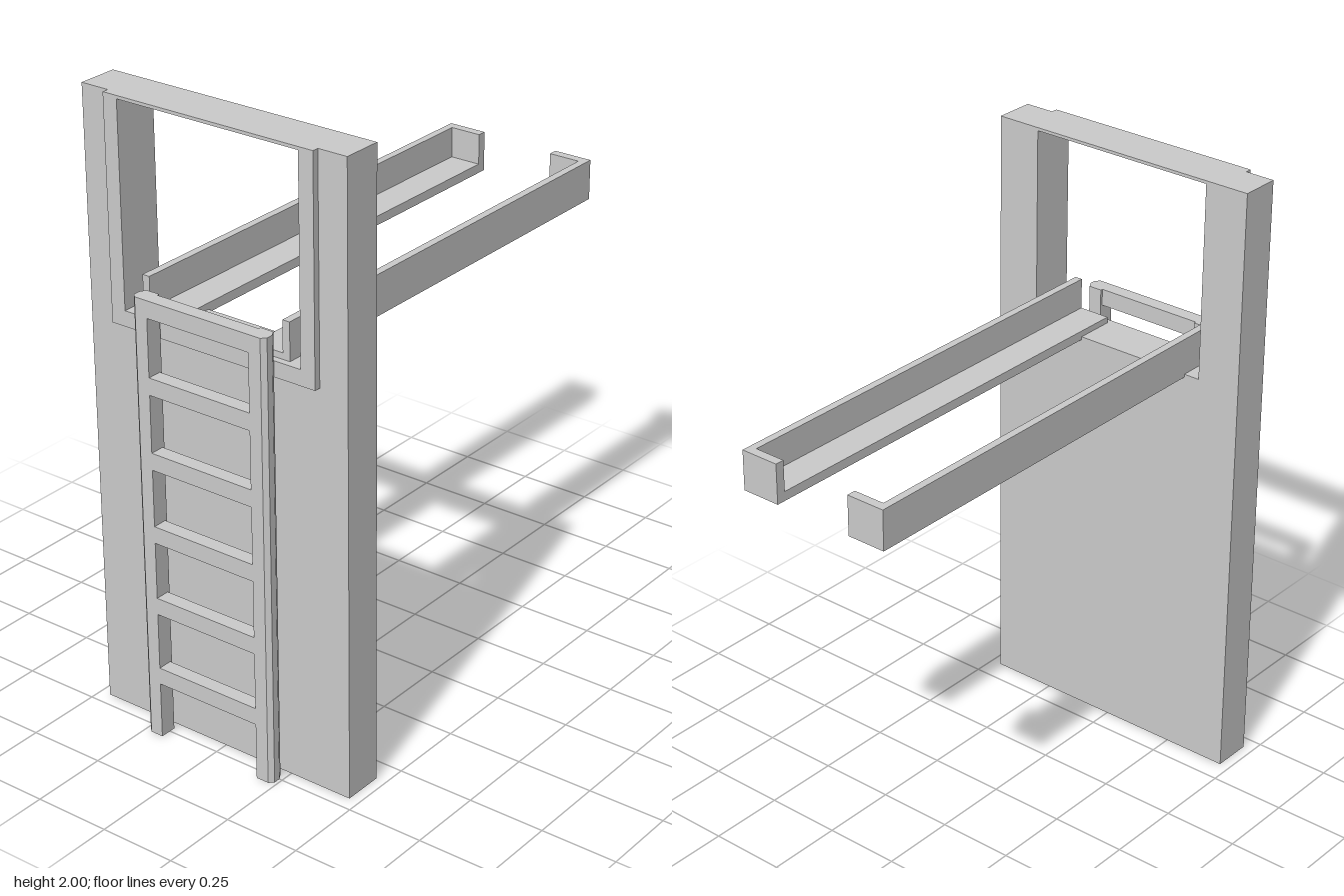
import * as THREE from 'three';

const grey = new THREE.MeshStandardMaterial({ color: 0xcccccc, flatShading: true });

function add(parent, name, geometry) {
  const mesh = new THREE.Mesh(geometry, grey);
  mesh.name = name;
  parent.add(mesh);
  return mesh;
}

// box given by its limits on each axis
function box(x0, x1, y0, y1, z0, z1) {
  return new THREE.BoxGeometry(x1 - x0, y1 - y0, z1 - z0)
    .translate((x0 + x1) / 2, (y0 + y1) / 2, (z0 + z1) / 2);
}

const shapeOf = pts => new THREE.Shape(pts.map(p => new THREE.Vector2(...p)));
const rect = (w, y0, y1) => [[-w, y0], [w, y0], [w, y1], [-w, y1]];

// upright panel pierced by the window opening
function framePanel(halfWidth, y0, z0, z1) {
  const shape = shapeOf(rect(halfWidth, y0, 2));
  shape.holes.push(shapeOf(rect(0.318, 1.35, 1.99)));
  return new THREE.ExtrudeGeometry(shape, { depth: z1 - z0, bevelEnabled: false }).translate(0, 0, z0);
}

export function createModel() {
  const model = new THREE.Group();
  model.name = 'wallWithLadderAndRails';

  // wall and raised trim around the opening
  add(model, 'wall', framePanel(0.465, 0, 0.575, 0.705));
  add(model, 'openingTrim', framePanel(0.368, 1.3, 0.705, 0.726));

  // ladder
  const ladder = new THREE.Group();
  ladder.name = 'ladder';
  model.add(ladder);
  const railProfile = [[0.183, 0.785], [0.226, 0.785], [0.24, 0.772], [0.24, 0.75],
    [0.228, 0.73], [0.183, 0.73]];
  for (const s of [1, -1]) {
    const shape = shapeOf(railProfile.map(([x, z]) => [s * x, -z]));
    const rail = new THREE.ExtrudeGeometry(shape, { depth: 1.44, bevelEnabled: false });
    add(ladder, s > 0 ? 'leftLadderRail' : 'rightLadderRail', rail.rotateX(-Math.PI / 2));
  }
  for (let i = 0; i < 6; i++) {
    const y = 0.185 + i * 0.24;
    add(ladder, 'rung', box(-0.185, 0.185, y, y + 0.055, 0.738, 0.785));
  }

  // long open trays: floor, outer side and end stop
  for (const s of [1, -1]) {
    const tray = new THREE.Group();
    tray.name = s > 0 ? 'leftTray' : 'rightTray';
    model.add(tray);
    const span = (a, b) => (s > 0 ? [a, b] : [-b, -a]);
    add(tray, 'trayFloor', box(...span(0.135, 0.265), 1.34, 1.37, -0.79, 0.705));
    add(tray, 'traySide', box(...span(0.24, 0.265), 1.37, 1.47, -0.79, 0.705));
    add(tray, 'trayEndStop', box(...span(0.135, 0.24), 1.37, 1.47, -0.79, -0.76));
  }
  return model;
}
